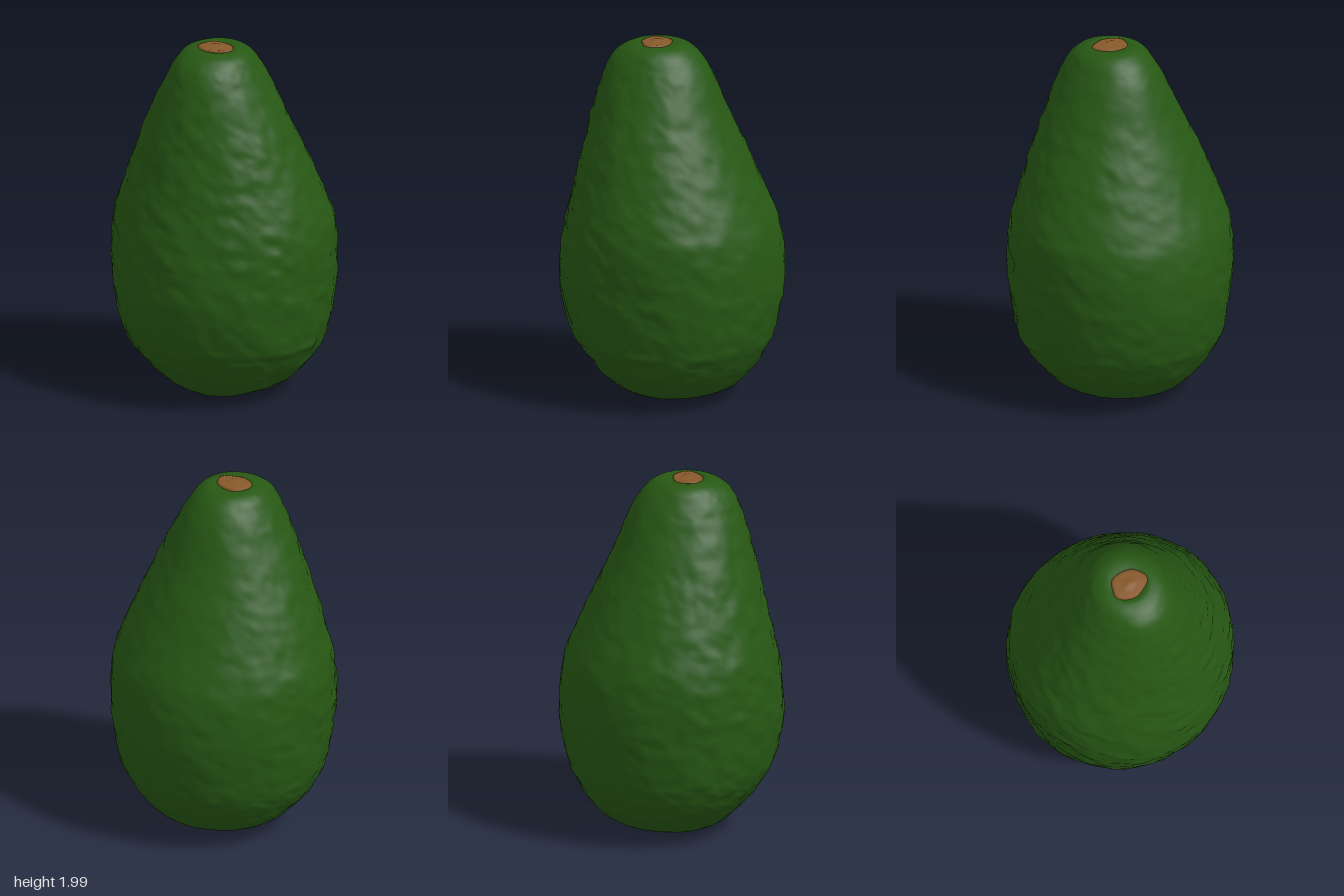
import * as THREE from 'three';

// Cross-sections from bottom to top: [half width, front z, front y, back z, back y]
const RINGS = [
  [0, -0.03, 0.035, -0.03, 0.035],
  [0.08, 0.06, 0.022, -0.10, 0.032],
  [0.16, 0.165, 0.01, -0.18, 0.034],
  [0.26, 0.25, 0.045, -0.28, 0.052],
  [0.36, 0.325, 0.1, -0.375, 0.1],
  [0.465, 0.42, 0.2, -0.465, 0.2],
  [0.53, 0.495, 0.3, -0.525, 0.3],
  [0.57, 0.55, 0.4, -0.565, 0.4],
  [0.6, 0.6, 0.6, -0.605, 0.6],
  [0.615, 0.602, 0.8, -0.61, 0.8],
  [0.605, 0.572, 1.0, -0.575, 1.0],
  [0.542, 0.528, 1.2, -0.49, 1.2],
  [0.465, 0.48, 1.4, -0.4, 1.4],
  [0.375, 0.435, 1.6, -0.31, 1.6],
  [0.28, 0.378, 1.8, -0.23, 1.8],
  [0.225, 0.335, 1.9, -0.175, 1.9],
  [0.18, 0.27, 1.96, -0.115, 1.96],
  [0.125, 0.2, 1.985, -0.06, 1.985],
  [0.08, 0.155, 1.978, 0.02, 1.978],
  [0, 0.085, 1.965, 0.085, 1.965],
];

// Smooth value noise in -1..1
function hash(x, y, z) {
  const s = Math.sin(x * 127.1 + y * 311.7 + z * 74.7) * 43758.5453;
  return (s - Math.floor(s)) * 2 - 1;
}
function noise(x, y, z) {
  const c = [x, y, z].map(Math.floor);
  const f = [x - c[0], y - c[1], z - c[2]].map((t) => t * t * (3 - 2 * t));
  let sum = 0;
  for (let k = 0; k < 8; k++) {
    const o = [k & 1, (k >> 1) & 1, k >> 2];
    const w = o.reduce((p, b, i) => p * (b ? f[i] : 1 - f[i]), 1);
    sum += w * hash(c[0] + o[0], c[1] + o[1], c[2] + o[2]);
  }
  return sum;
}

// Pear-shaped body lofted through the cross-sections, with a pebbled skin
function bodyGeometry(rows, cols) {
  const front = new THREE.CatmullRomCurve3(
    RINGS.map((r) => new THREE.Vector3(r[0], r[2], r[1])), false, 'catmullrom', 0.5);
  const back = new THREE.CatmullRomCurve3(
    RINGS.map((r) => new THREE.Vector3(0, r[4], r[3])), false, 'catmullrom', 0.5);
  const pos = [], index = [];
  for (let i = 0; i <= rows; i++) {
    const f = front.getPoint(i / rows), b = back.getPoint(i / rows);
    const midZ = (f.z + b.z) / 2, depth = (f.z - b.z) / 2;
    const midY = (f.y + b.y) / 2, tilt = (f.y - b.y) / 2;
    for (let j = 0; j < cols; j++) {
      const a = (j / cols) * Math.PI * 2, s = Math.sin(a), c = Math.cos(a);
      const x = f.x * s, y = midY + tilt * c, z = midZ + depth * c;
      // bumps fade out at both ends and are softer at the back
      const fade = Math.min(1, f.x / 0.45) * (c < 0 ? 1 + 0.4 * c : 1);
      const bump = fade * (0.008 * noise(x * 13, y * 17, z * 13) + 0.004 * noise(x * 27 + 9, y * 34, z * 27));
      pos.push(x + s * bump, y, z + c * bump);
      if (i < rows) {
        const n = (j + 1) % cols, p = i * cols, q = p + cols;
        index.push(p + j, p + n, q + j, p + n, q + n, q + j);
      }
    }
  }
  const g = new THREE.BufferGeometry();
  g.setAttribute('position', new THREE.Float32BufferAttribute(pos, 3));
  g.setIndex(index);
  g.computeVertexNormals();
  return g;
}

// Small woody button with an uneven rim
function scarGeometry() {
  const profile = [[0.1, -0.02], [0.102, 0.004], [0.085, 0.01], [0.06, 0.007], [0.035, 0.014], [0, 0.018]];
  const g = new THREE.LatheGeometry(profile.map((p) => new THREE.Vector2(p[0], p[1])), 36);
  const p = g.attributes.position;
  for (let i = 0; i < p.count; i++) {
    const a = Math.atan2(p.getZ(i), p.getX(i));
    const k = 1 + 0.04 * Math.sin(3 * a + 1) + 0.03 * Math.sin(5 * a);
    p.setX(i, p.getX(i) * k);
    p.setZ(i, p.getZ(i) * k * 0.8);
  }
  g.computeVertexNormals();
  return g;
}

export function createModel() {
  const skin = new THREE.MeshStandardMaterial({ color: 0x275814 });
  skin.name = 'green skin';
  const wood = new THREE.MeshStandardMaterial({ color: 0x87592a });
  wood.name = 'brown stem';

  const model = new THREE.Group();
  model.name = 'avocado';
  const add = (name, geometry, material) => {
    const mesh = new THREE.Mesh(geometry, material);
    mesh.name = name;
    model.add(mesh);
    return mesh;
  };

  add('body', bodyGeometry(170, 150), skin);
  const scar = scarGeometry();
  add('stemButton', scar, wood).position.set(0, 1.981, 0.085);
  const base = add('baseScar', scar, wood);
  base.position.set(0, 0.027, -0.05);
  base.rotation.x = Math.PI + 0.06;
  return model;
}
